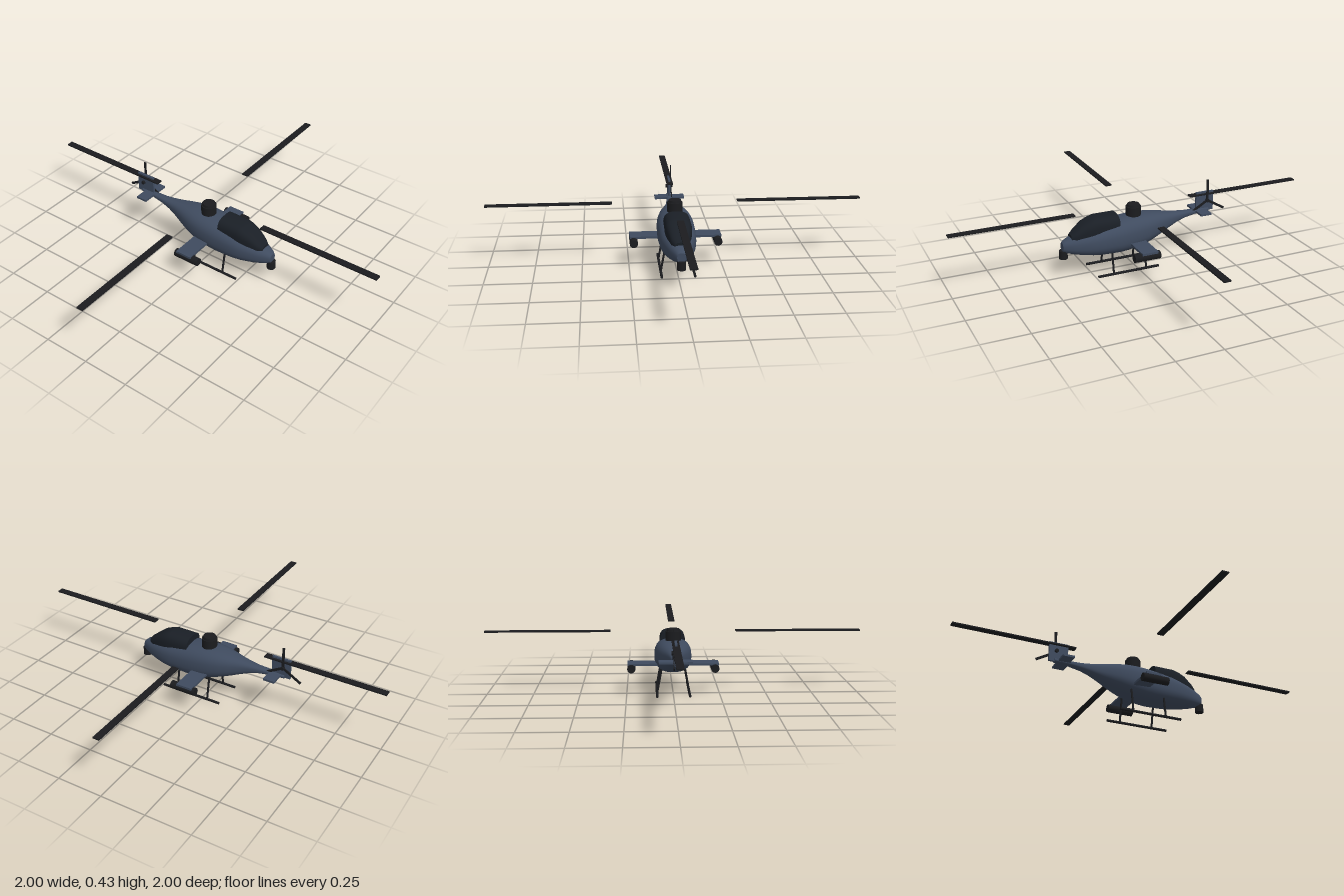
import * as THREE from 'three';

const paint = new THREE.MeshStandardMaterial({ color: 0x3f4b5f });
const dark = new THREE.MeshStandardMaterial({ color: 0x1b1c1f });
const glass = new THREE.MeshStandardMaterial({ color: 0x1a1f26 });

function add(parent, name, geometry, material, x = 0, y = 0, z = 0) {
  const mesh = new THREE.Mesh(geometry, material);
  mesh.name = name;
  mesh.position.set(x, y, z);
  parent.add(mesh);
  return mesh;
}

// Straight round bar between two points
function bar(parent, name, from, to, r, material) {
  const a = new THREE.Vector3(...from), b = new THREE.Vector3(...to);
  const dir = b.clone().sub(a);
  const mesh = add(parent, name, new THREE.CylinderGeometry(r, r, dir.length(), 12), material);
  mesh.position.copy(a).add(b).multiplyScalar(0.5);
  mesh.quaternion.setFromUnitVectors(new THREE.Vector3(0, 1, 0), dir.normalize());
  return mesh;
}

// Loft of superellipse rings; rows run front to back as [z, halfWidth, bottom, top]
function loft(rows, power, n = 36) {
  const pos = [], index = [];
  const bend = v => Math.sign(v) * Math.abs(v) ** (2 / power);
  const ring = ([z, w, lo, hi]) => {
    for (let j = 0; j < n; j++) {
      const a = (j / n) * Math.PI * 2;
      pos.push(w * bend(Math.cos(a)), (lo + hi) / 2 + (hi - lo) / 2 * bend(Math.sin(a)), z);
    }
  };
  rows.forEach(ring);
  for (let i = 0; i < rows.length - 1; i++) {
    for (let j = 0; j < n; j++) {
      const a = i * n + j, b = i * n + (j + 1) % n;
      index.push(a, a + n, b, b, a + n, b + n);
    }
  }
  // Flat end caps with their own vertices
  [rows[0], rows[rows.length - 1]].forEach((row, end) => {
    const start = pos.length / 3;
    ring(row);
    pos.push(0, (row[2] + row[3]) / 2, row[0]);
    for (let j = 0; j < n; j++) {
      const a = start + j, b = start + (j + 1) % n;
      index.push(start + n, end ? b : a, end ? a : b);
    }
  });
  const g = new THREE.BufferGeometry();
  g.setAttribute('position', new THREE.Float32BufferAttribute(pos, 3));
  g.setIndex(index);
  g.computeVertexNormals();
  return g;
}

export function createModel() {
  const model = new THREE.Group();
  model.name = 'helicopter';

  // Body with slender tail boom
  add(model, 'fuselage', loft([
    [0.408, 0.022, 0.15, 0.198], [0.395, 0.032, 0.143, 0.21], [0.35, 0.055, 0.13, 0.228],
    [0.3, 0.073, 0.119, 0.245], [0.25, 0.087, 0.111, 0.258], [0.2, 0.095, 0.106, 0.27],
    [0.1, 0.1, 0.103, 0.285], [0.05, 0.1, 0.107, 0.291], [0, 0.098, 0.115, 0.294],
    [-0.05, 0.092, 0.127, 0.294], [-0.1, 0.08, 0.145, 0.29], [-0.15, 0.063, 0.165, 0.283],
    [-0.2, 0.045, 0.187, 0.275], [-0.25, 0.032, 0.208, 0.268], [-0.3, 0.024, 0.224, 0.263],
    [-0.37, 0.018, 0.236, 0.262], [-0.45, 0.014, 0.241, 0.26],
  ], 2.5), paint);

  // Cockpit glazing
  add(model, 'canopy', loft([
    [0.362, 0.03, 0.18, 0.238], [0.34, 0.045, 0.18, 0.256], [0.29, 0.06, 0.18, 0.296],
    [0.25, 0.068, 0.18, 0.312], [0.22, 0.07, 0.18, 0.32], [0.104, 0.07, 0.18, 0.32],
  ], 3), glass);

  // Sensor under the nose
  add(model, 'chinSensor', new THREE.CylinderGeometry(0.023, 0.023, 0.045, 20), dark, 0, 0.132, 0.402);

  // Main rotor
  const rotor = new THREE.Group();
  rotor.name = 'mainRotor';
  model.add(rotor);
  add(rotor, 'rotorMast', new THREE.CylinderGeometry(0.041, 0.041, 0.075, 28), dark, 0, 0.303);
  add(rotor, 'rotorCap', new THREE.CylinderGeometry(0.033, 0.036, 0.014, 28), dark, 0, 0.346);
  for (let i = 0; i < 4; i++) {
    const a = i * Math.PI / 2;
    const blade = add(rotor, 'rotorBlade', new THREE.BoxGeometry(0.666, 0.007, 0.036), dark,
      0.667 * Math.cos(a), 0.342, 0.667 * Math.sin(a));
    blade.rotation.y = -a;
  }

  // Stub wings
  add(model, 'stubWings', new THREE.BoxGeometry(0.49, 0.012, 0.09), paint, 0, 0.163, 0.012);

  for (const s of [-1, 1]) {
    // Pod under each wing tip
    const pod = add(model, 'wingPod', new THREE.CylinderGeometry(0.022, 0.022, 0.145, 20), dark, s * 0.224, 0.142, 0.024);
    pod.rotation.x = Math.PI / 2;

    // Landing skid and its struts
    bar(model, 'skid', [s * 0.087, 0.007, 0.24], [s * 0.087, 0.007, -0.11], 0.007, dark);
    for (const z of [0.152, -0.036]) {
      bar(model, 'skidStrut', [s * 0.062, 0.145, z], [s * 0.087, 0.007, z], 0.0055, dark);
    }
  }

  // Tail surfaces
  add(model, 'tailFin', new THREE.BoxGeometry(0.012, 0.11, 0.105), paint, 0, 0.3, -0.428);
  add(model, 'stabilizer', new THREE.BoxGeometry(0.168, 0.011, 0.063), paint, 0, 0.252, -0.398);

  // Three-bladed tail rotor on the left of the fin
  const tail = new THREE.Group();
  tail.name = 'tailRotor';
  tail.position.set(0.012, 0.305, -0.441);
  model.add(tail);
  const hub = add(tail, 'tailRotorHub', new THREE.CylinderGeometry(0.01, 0.01, 0.04, 16), dark, -0.01);
  hub.rotation.z = Math.PI / 2;
  for (let i = 0; i < 3; i++) {
    const arm = new THREE.Group();
    arm.name = 'tailRotorArm';
    arm.rotation.x = i * Math.PI * 2 / 3;
    tail.add(arm);
    add(arm, 'tailRotorBlade', new THREE.BoxGeometry(0.005, 0.12, 0.013), dark, 0, 0.06, 0);
  }
  return model;
}
